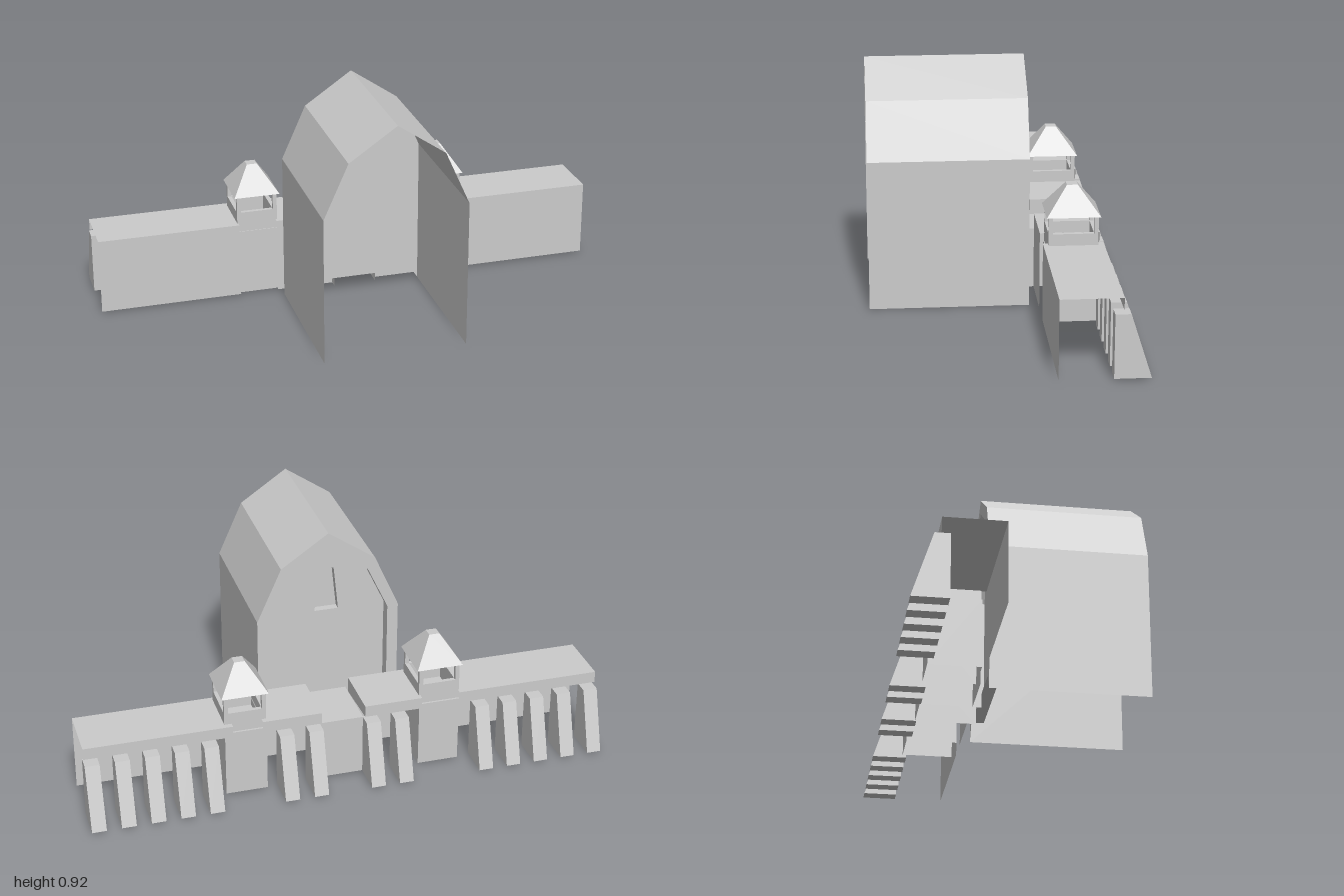
import * as THREE from 'three';

const mat = new THREE.MeshStandardMaterial({ color: 0xcccccc, flatShading: true, side: THREE.DoubleSide });

export function createModel() {
  const model = new THREE.Group();

  const add = (name, geo, parent = model) => {
    const mesh = new THREE.Mesh(geo, mat);
    mesh.name = name;
    parent.add(mesh);
    return mesh;
  };

  // Thin surface stretched between two matching polylines of [x, y, z]
  const ribbon = (a, b) => {
    const pos = [];
    for (let i = 0; i < a.length - 1; i++) {
      pos.push(...a[i], ...b[i], ...b[i + 1], ...a[i], ...b[i + 1], ...a[i + 1]);
    }
    const geo = new THREE.BufferGeometry();
    geo.setAttribute('position', new THREE.Float32BufferAttribute(pos, 3));
    geo.computeVertexNormals();
    return geo;
  };

  const box = (x0, x1, y0, y1, z0, z1) =>
    new THREE.BoxGeometry(x1 - x0, y1 - y0, z1 - z0)
      .translate((x0 + x1) / 2, (y0 + y1) / 2, (z0 + z1) / 2);

  // Box with some sides left out (0 +x, 1 -x, 2 +y, 3 -y, 4 +z, 5 -z)
  const openBox = (sides, ...size) => {
    const geo = box(...size);
    const index = Array.from(geo.index.array);
    geo.setIndex(index.filter((_, i) => !sides.includes(Math.floor(i / 6))));
    geo.clearGroups();
    return geo;
  };

  const shapeOf = (pts) => new THREE.Shape(pts.map(([x, y]) => new THREE.Vector2(x, y)));
  const atZ = (pts, z) => pts.map(([x, y]) => [x, y, z]);

  // Barn: open gambrel shell with a recessed rear gable
  const barn = new THREE.Group();
  barn.name = 'barn';
  model.add(barn);
  const outer = [[-0.277, 0], [-0.277, 0.58], [-0.183, 0.79], [0, 0.915], [0.183, 0.79], [0.277, 0.58], [0.277, 0]];
  const inner = [[-0.235, 0.065], [-0.235, 0.575], [-0.155, 0.745], [0, 0.855], [0.155, 0.745], [0.235, 0.575], [0.235, 0.065]];
  const niche = [[-0.053, 0.57], [0.04, 0.57], [0.025, 0.745], [-0.035, 0.745]];
  const rear = -0.123, recess = -0.075, nicheZ = -0.045;
  add('barnShell', ribbon(atZ(outer, 0.482), atZ(outer, rear)), barn);
  add('gableFrame', ribbon(atZ(outer, rear), atZ(inner, rear)), barn);
  const closedInner = [...inner, inner[0]];
  add('gableReveal', ribbon(atZ(closedInner, rear), atZ(closedInner, recess)), barn);
  const gable = shapeOf(inner);
  gable.holes.push(shapeOf(niche));
  add('gablePanel', new THREE.ShapeGeometry(gable).translate(0, 0, recess), barn);
  const closedNiche = [...niche, niche[0]];
  add('nicheSides', ribbon(atZ(closedNiche, recess), atZ(closedNiche, nicheZ)), barn);
  add('nicheBack', new THREE.ShapeGeometry(shapeOf(niche)).translate(0, 0, nicheZ), barn);

  // Gatehouse passage, open towards the barn and below
  add('gatePassage', openBox([3, 4], -0.07, 0.1, 0.006, 0.245, -0.355, rear));

  // Walls: front panel, top walk and a short rear lip
  const wallProfile = [[0.006, -0.157], [0.305, -0.157], [0.305, -0.381], [0.26, -0.381]];
  const wallAt = (x) => wallProfile.map(([y, z]) => [x, y, z]);
  for (const [x0, x1] of [[-1, -0.445], [-0.295, -0.07], [0.1, 0.326], [0.44, 1]]) {
    add('wall', ribbon(wallAt(x0), wallAt(x1)));
  }
  // Fascia beside the gate
  for (const x of [-0.07, 0.1]) {
    add('wallFascia', ribbon([[x, 0.305, -0.157], [x, 0.305, -0.381]], [[x, 0.245, -0.157], [x, 0.26, -0.381]]));
  }

  // Sloped rear buttresses
  const buttressGeo = new THREE.ExtrudeGeometry(
    shapeOf([[0.35, 0.006], [0.482, 0.006], [0.406, 0.245], [0.35, 0.245]]),
    { depth: 0.055, bevelEnabled: false }
  ).rotateY(Math.PI / 2);
  const starts = [-0.235, -0.124, 0.1, 0.213];
  for (let i = 0; i < 5; i++) starts.push(-1 + i * 0.111, 0.945 - i * 0.111);
  for (const x of starts) add('buttress', buttressGeo).position.x = x;

  // Watchtowers: body, parapet, corner posts and a blunt pyramid roof
  const square = (w, d, y) =>
    [[-1, -1], [1, -1], [1, 1], [-1, 1], [-1, -1]].map(([x, z]) => [x * w, y, z * d]);
  for (const cx of [-0.369, 0.388]) {
    const tower = new THREE.Group();
    tower.name = 'watchtower';
    tower.position.set(cx, 0, -0.267);
    model.add(tower);
    const w = 0.08, d = 0.092, t = 0.016;
    add('towerBody', openBox([3], -w, w, 0.006, 0.27, -0.1, 0.095), tower);
    for (const s of [-1, 1]) {
      const px = s * (w - t / 2), pz = s * (d - t / 2);
      add('parapetSide', box(px - t / 2, px + t / 2, 0.27, 0.35, -d, d), tower);
      add('parapetEnd', box(-w + t, w - t, 0.27, 0.35, pz - t / 2, pz + t / 2), tower);
      for (const q of [-1, 1]) {
        const qz = q * (d - t / 2);
        add('cornerPost', box(px - t / 2, px + t / 2, 0.35, 0.42, qz - t / 2, qz + t / 2), tower);
      }
    }
    add('towerRoof', ribbon(square(0.09, 0.1, 0.415), square(0.02, 0.02, 0.52)), tower);
    add('roofCap', new THREE.PlaneGeometry(0.04, 0.04).rotateX(-Math.PI / 2).translate(0, 0.52, 0), tower);
  }

  return model;
}
